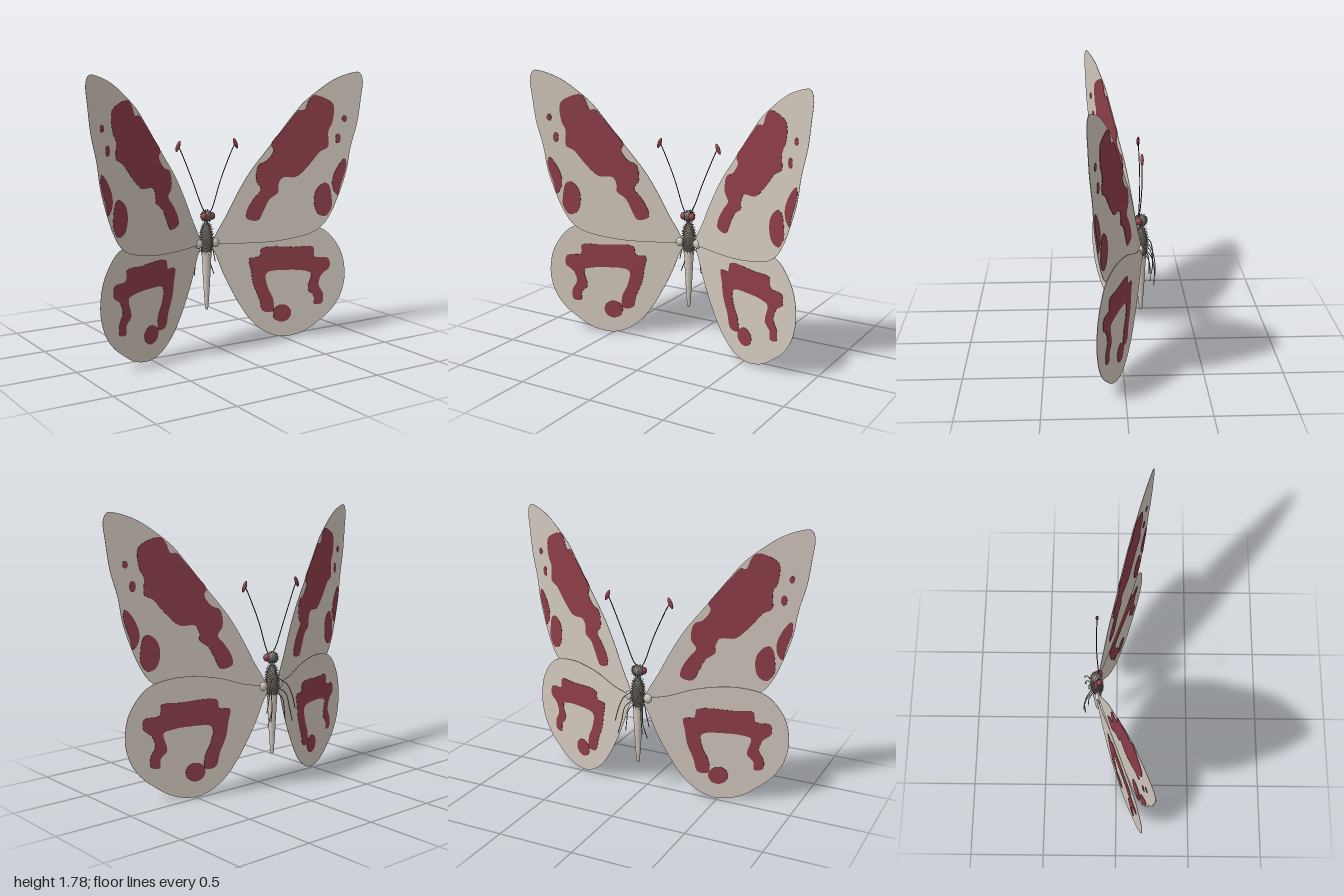
import * as THREE from 'three';
import { mergeGeometries } from 'three/addons/utils/BufferGeometryUtils.js';

const BODY_Z = -0.133;

// Outlines as [x, y] points of the wing on the +x side
const FORE = [[.05, .67], [.13, .845], [.2, .99], [.28, 1.13], [.41, 1.305], [.52, 1.455], [.61, 1.57], [.695, 1.645],
  [.81, 1.727], [.92, 1.77], [.975, 1.775], [1, 1.73], [.99, 1.6], [.97, 1.44], [.93, 1.28], [.905, 1.12], [.86, .97],
  [.81, .845], [.76, .765], [.695, .715], [.6, .685], [.44, .66], [.28, .655], [.13, .66]];
const HIND = [[.05, .66], [.2, .7], [.35, .75], [.55, .775], [.7, .755], [.78, .72], [.85, .64], [.895, .55], [.915, .43],
  [.91, .35], [.88, .25], [.82, .16], [.74, .09], [.65, .03], [.56, .003], [.48, .003], [.4, .035], [.31, .11],
  [.24, .21], [.18, .32], [.12, .45], [.08, .56]];
const FORE_BAND = [[.76, 1.605], [.68, 1.625], [.65, 1.59], [.625, 1.53], [.59, 1.53], [.55, 1.485], [.47, 1.385],
  [.415, 1.305], [.43, 1.27], [.385, 1.2], [.335, 1.175], [.32, 1.07], [.35, 1.015], [.31, .96], [.265, .88], [.26, .825],
  [.33, .805], [.365, .865], [.405, .945], [.46, .99], [.46, 1.035], [.485, 1.085], [.575, 1.09], [.63, 1.135],
  [.685, 1.2], [.73, 1.255], [.78, 1.285], [.78, 1.39], [.805, 1.445], [.81, 1.565]];
const FORE_EDGE = [[.893, 1.205], [.855, 1.165], [.815, 1.07], [.82, 1], [.85, .96], [.868, 1.03], [.893, 1.11], [.903, 1.17]];
const FORE_SPOT = [[.76, 1.045], [.71, 1], [.695, .92], [.72, .84], [.77, .82], [.81, .88], [.81, .94], [.79, 1.03]];
const HIND_BAND = [[.7, .61], [.58, .615], [.365, .615], [.35, .56], [.285, .55], [.295, .47], [.31, .375], [.35, .27],
  [.375, .185], [.44, .18], [.44, .265], [.405, .345], [.395, .445], [.525, .46], [.64, .45], [.69, .43], [.67, .32],
  [.71, .27], [.715, .215], [.765, .22], [.77, .285], [.74, .35], [.76, .42], [.81, .465], [.8, .53], [.71, .545]];

const oval = (x, y, rx, ry) => Array.from({ length: 14 }, (_, i) => {
  const a = i / 14 * Math.PI * 2;
  return [x + rx * Math.cos(a), y + ry * Math.sin(a)];
});

// Thin plate with a smoothed outline, sheared into the swept wing plane
function plate(points, thickness, offset) {
  const curve = new THREE.CatmullRomCurve3(points.map(([x, y]) => new THREE.Vector3(x, y, 0)), true);
  const shape = new THREE.Shape(curve.getPoints(points.length * 4).slice(0, -1).map(p => new THREE.Vector2(p.x, p.y)));
  const geo = new THREE.ExtrudeGeometry(shape, { depth: thickness, bevelEnabled: false });
  const p = geo.attributes.position;
  for (let i = 0; i < p.count; i++) p.setZ(i, p.getZ(i) - thickness / 2 + offset - 0.145 + 0.36 * p.getX(i));
  geo.computeVertexNormals();
  return geo;
}

function tube(points, radius) {
  const curve = new THREE.CatmullRomCurve3(points.map(p => new THREE.Vector3(...p)));
  return new THREE.TubeGeometry(curve, 24, radius, 6);
}

// Short hairs standing on an ellipsoid
function fur(count, cy, rx, ry, rz, length) {
  const up = new THREE.Vector3(0, 1, 0), hairs = [];
  for (let i = 0; i < count; i++) {
    const t = 1 - 2 * (i + 0.5) / count, a = i * 2.39996, r = Math.sqrt(1 - t * t);
    const n = new THREE.Vector3(r * Math.cos(a), t, r * Math.sin(a));
    const hair = new THREE.ConeGeometry(0.004, length, 4);
    hair.translate(0, length * 0.4, 0);
    const lean = n.clone().add(new THREE.Vector3(0, -0.7, 0)).normalize();
    hair.applyQuaternion(new THREE.Quaternion().setFromUnitVectors(up, lean));
    hair.translate(n.x * rx, cy + n.y * ry, BODY_Z + n.z * rz);
    hairs.push(hair);
  }
  return mergeGeometries(hairs);
}

export function createModel() {
  const model = new THREE.Group();
  model.name = 'butterfly';
  const mat = (name, color, side = THREE.FrontSide) => {
    const m = new THREE.MeshStandardMaterial({ color, side });
    m.name = name;
    return m;
  };
  const cream = mat('wing cream', 0xd0c6bb, THREE.DoubleSide);
  const red = mat('marking red', 0x8c3d48, THREE.DoubleSide);
  const grey = mat('fur grey', 0x88827b);
  const dark = mat('feeler dark', 0x3c2a2b);
  const add = (parent, name, geo, material) => {
    const mesh = new THREE.Mesh(geo, material);
    mesh.name = name;
    parent.add(mesh);
    return mesh;
  };
  const ball = (parent, name, material, pos, scale) => {
    const m = add(parent, name, new THREE.SphereGeometry(1, 24, 16), material);
    m.position.set(...pos);
    m.scale.set(...scale);
    return m;
  };

  // Furry thorax and head
  ball(model, 'thorax', grey, [0, 0.69, BODY_Z], [0.038, 0.115, 0.037]);
  add(model, 'thoraxFur', fur(260, 0.69, 0.037, 0.113, 0.036, 0.022), grey);
  ball(model, 'head', grey, [0, 0.85, BODY_Z], [0.036, 0.036, 0.036]);
  add(model, 'headFur', fur(90, 0.85, 0.035, 0.035, 0.035, 0.014), grey);

  // Ringed, tapering abdomen
  const profile = [new THREE.Vector2(0, 0.22)];
  for (let i = 0; i <= 40; i++) {
    const t = i / 40;
    const r = 0.008 + 0.024 * Math.pow(t, 0.75) + 0.001 * Math.abs(Math.sin(t * Math.PI * 9));
    profile.push(new THREE.Vector2(r, 0.225 + 0.385 * t));
  }
  profile.push(new THREE.Vector2(0, 0.63));
  add(model, 'abdomen', new THREE.LatheGeometry(profile, 24), cream).position.z = BODY_Z;

  // Everything that comes in pairs, mirrored across x
  for (const side of [1, -1]) {
    const half = new THREE.Group();
    half.name = side > 0 ? 'leftSide' : 'rightSide';
    half.scale.x = side;
    model.add(half);

    // Wings, the hind one behind the front one
    add(half, 'foreWing', plate(FORE, 0.003, 0), cream);
    add(half, 'hindWing', plate(HIND, 0.003, -0.012), cream);
    ball(half, 'wingRoot', cream, [0.065, 0.67, -0.125], [0.028, 0.03, 0.018]);

    // Markings seen on both faces of the wings
    const foreMarks = [FORE_BAND, FORE_EDGE, FORE_SPOT, oval(.885, 1.47, .015, .023), oval(.845, 1.34, .017, .033)];
    for (const mark of foreMarks) add(half, 'foreWingMarking', plate(mark, 0.008, 0), red);
    for (const mark of [HIND_BAND, oval(.5, .163, .06, .06)]) add(half, 'hindWingMarking', plate(mark, 0.008, -0.012), red);

    // Eye and clubbed feeler
    ball(half, 'eye', red, [0.031, 0.85, -0.115], [0.021, 0.025, 0.022]);
    add(half, 'feeler', tube([[.015, .87, -.115], [.04, .91, -.12], [.107, 1.085, -.128], [.18, 1.25, -.125], [.215, 1.32, -.122]], 0.003), dark);
    ball(half, 'feelerClub', red, [0.217, 1.315, -0.122], [0.013, 0.037, 0.01]).rotation.z = 0.42;

    // Three bent legs
    const legs = [
      [[.02, .72, -.155], [.07, .68, -.195], [.1, .6, -.215], [.12, .52, -.218]],
      [[.02, .66, -.155], [.06, .62, -.195], [.075, .53, -.215], [.105, .435, -.21]],
      [[.02, .63, -.15], [.045, .59, -.18], [.052, .52, -.19], [.06, .45, -.19]],
    ];
    for (const leg of legs) add(half, 'leg', tube(leg, 0.003), grey);
  }
  return model;
}
